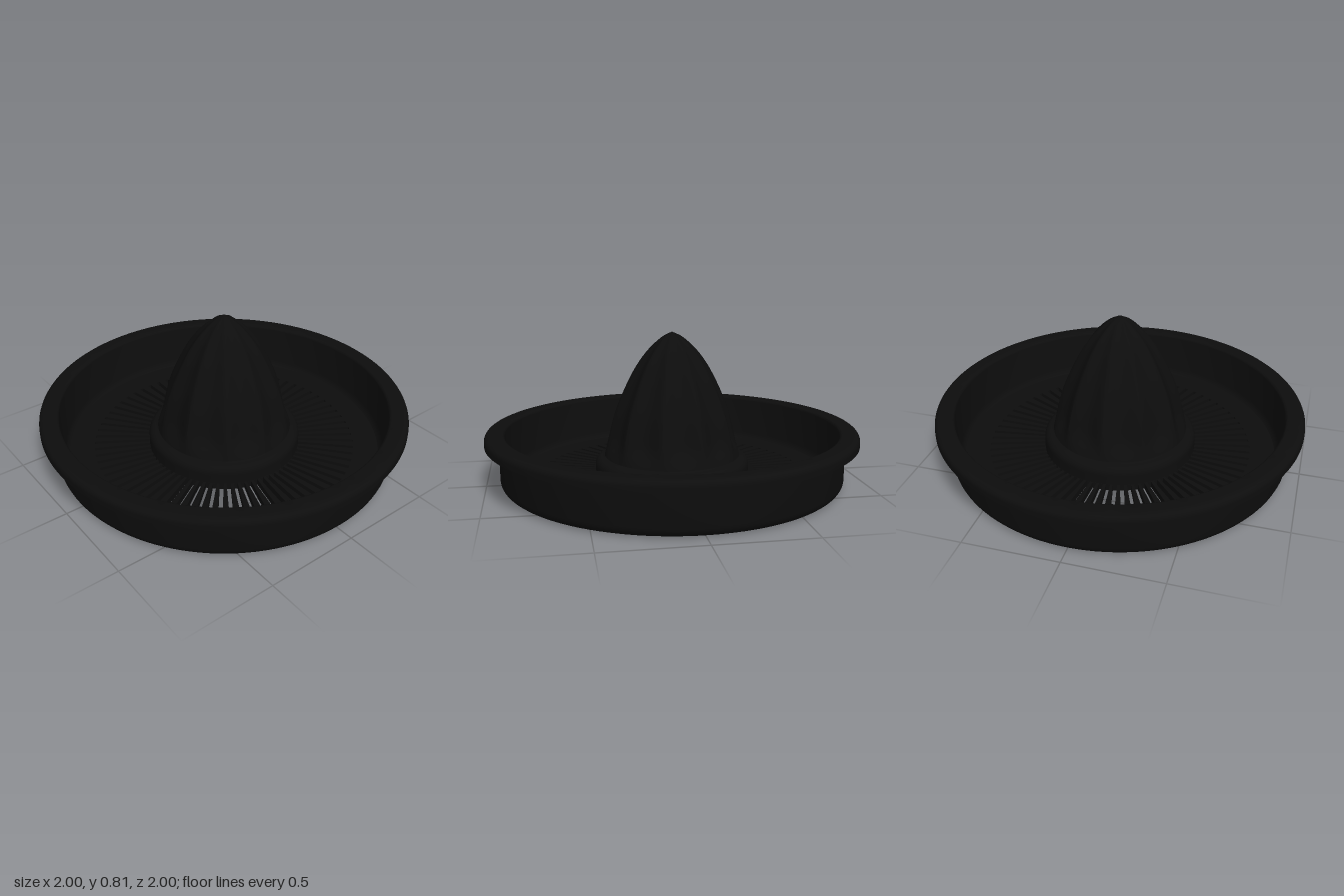
import * as THREE from 'three';
import { toCreasedNormals } from 'three/addons/utils/BufferGeometryUtils.js';

const black = new THREE.MeshStandardMaterial({ color: 0x0d0d0d });
black.name = 'black plastic';

const CONE_TOP = 0.805, CONE_BASE = 0.14, FLUTES = 10, SLOTS = 73;

function addMesh(group, name, geometry, crease = 0.6) {
  const mesh = new THREE.Mesh(toCreasedNormals(geometry, crease), black);
  mesh.name = name;
  group.add(mesh);
}

// Points on a quarter arc, for rounding the corners of a profile
function arc(cx, cy, radius, from, to, steps = 6) {
  return Array.from({ length: steps + 1 }, (_, i) => {
    const a = from + (to - from) * i / steps;
    return new THREE.Vector2(cx + radius * Math.cos(a), cy + radius * Math.sin(a));
  });
}

const points = (list) => list.map(([r, y]) => new THREE.Vector2(r, y));

// Round wall with a rolled rim
function trayGeometry() {
  const q = Math.PI / 2;
  return new THREE.LatheGeometry([
    ...points([[0.86, 0]]),
    ...arc(0.875, 0.05, 0.05, -q, 0),
    ...points([[0.925, 0.235], [1, 0.235]]),
    ...arc(0.97, 0.26, 0.03, 0, q),
    ...arc(0.91, 0.275, 0.015, q, 2 * q, 4),
    ...points([[0.88, 0.07], [0.872, 0.045], [0.86, 0.035], [0.86, 0]]),
  ], 128);
}

// Floor ring pierced by narrow radial slots
function strainerGeometry() {
  const shape = new THREE.Shape().absarc(0, 0, 0.87, 0, Math.PI * 2, false);
  shape.holes.push(new THREE.Path().absarc(0, 0, 0.4, 0, Math.PI * 2, true));
  for (let i = 0; i < SLOTS; i++) {
    const a = i / SLOTS * Math.PI * 2;
    const corners = [[0.42, -0.011], [0.42, 0.011], [0.725, 0.011], [0.725, -0.011]];
    shape.holes.push(new THREE.Path(corners.map(([r, w]) => new THREE.Vector2(
      r * Math.cos(a) - w * Math.sin(a), r * Math.sin(a) + w * Math.cos(a)))));
  }
  const geometry = new THREE.ExtrudeGeometry(shape, { depth: 0.035, bevelEnabled: false, curveSegments: 96 });
  return geometry.rotateX(-Math.PI / 2);
}

// Rounded step carrying the cone, open underneath
function hubGeometry() {
  return new THREE.LatheGeometry([
    ...points([[0.395, 0], [0.42, 0], [0.418, 0.08]]),
    ...arc(0.375, 0.09, 0.043, 0, Math.PI / 2),
    ...points([[0.355, 0.145], [0.345, 0.125], [0.37, 0.11], [0.39, 0.08], [0.395, 0]]),
  ], 96);
}

// Hollow domed reamer; concave flutes fade out at its base and tip
function reamerGeometry() {
  const outer = new THREE.SplineCurve(points([
    [0.368, CONE_BASE], [0.335, 0.29], [0.295, 0.42], [0.215, 0.59],
    [0.14, 0.7], [0.06, 0.775], [0, CONE_TOP],
  ])).getPoints(32);
  outer.forEach((p) => { p.x = Math.max(p.x, 0); });
  const inner = outer.map((p) => new THREE.Vector2(p.x * 0.93, CONE_BASE + (p.y - CONE_BASE) * 0.96)).reverse();
  const geometry = new THREE.LatheGeometry([...outer, ...inner, outer[0].clone()], 160);
  const pos = geometry.attributes.position;
  for (let i = 0; i < pos.count; i++) {
    const x = pos.getX(i), y = pos.getY(i), z = pos.getZ(i);
    const fade = THREE.MathUtils.smoothstep(y, CONE_BASE, CONE_BASE + 0.1);
    const groove = Math.abs(Math.sin(Math.atan2(z, x) * FLUTES / 2)) ** 1.3;
    const k = 1 - 0.1 * fade * groove;
    pos.setXYZ(i, x * k, y, z * k);
  }
  return geometry;
}

export function createModel() {
  const group = new THREE.Group();
  group.name = 'citrusJuicer';
  addMesh(group, 'trayWallAndRim', trayGeometry());
  addMesh(group, 'slottedStrainer', strainerGeometry());
  addMesh(group, 'hub', hubGeometry());
  addMesh(group, 'flutedReamer', reamerGeometry());
  return group;
}
